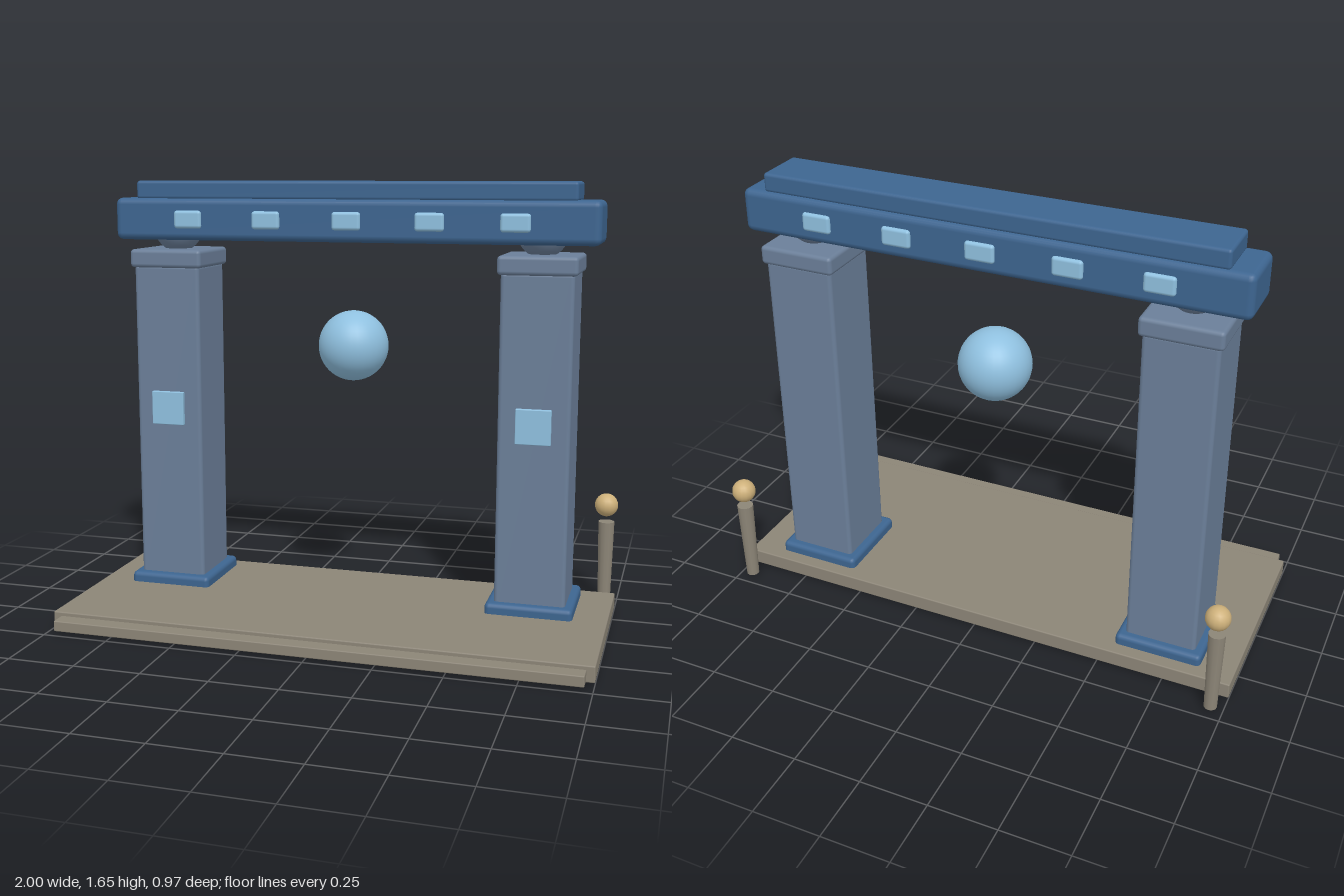
import * as THREE from 'three';
import { RoundedBoxGeometry } from 'three/addons/geometries/RoundedBoxGeometry.js';

const material = (color) => new THREE.MeshStandardMaterial({ color });

export function createModel() {
  const group = new THREE.Group();
  const stone = material(0x8c8577);
  const slate = material(0x6b7f99);
  const blue = material(0x3d6590);
  const glow = material(0x8fc0df);
  const gold = material(0xcdb07a);
  const soil = material(0x7a7358);
  const axis = -0.165; // depth of the gate's centre line

  function add(name, geometry, mat, x, y, z) {
    const mesh = new THREE.Mesh(geometry, mat);
    mesh.name = name;
    mesh.position.set(x, y, z);
    group.add(mesh);
    return mesh;
  }
  // Box with softened edges, given by its lower and upper heights
  function block(name, mat, w, y0, y1, d, x, z, bevel) {
    const geometry = new RoundedBoxGeometry(w, y1 - y0, d, 2, bevel);
    return add(name, geometry, mat, x, (y0 + y1) / 2, z);
  }

  // Platform with a lower front step and an inlay underneath
  block('platform', stone, 2, 0.005, 0.065, 0.8, 0, 0.02, 0.005);
  block('frontStep', stone, 1.94, 0.01, 0.05, 0.1, 0, 0.43, 0.004);
  add('underInlay', new THREE.BoxGeometry(0.92, 0.02, 0.35), soil, 0, 0.012, -0.02);

  for (const side of [-1, 1]) {
    const x = side * 0.712;
    // Pillar with plinth, capital and ball bearing
    block('plinth', blue, 0.325, 0.03, 0.105, 0.33, x, axis, 0.018);
    add('footing', new THREE.CylinderGeometry(0.09, 0.09, 0.03, 6), blue, x, 0.016, axis);
    block('pillar', slate, 0.265, 0.07, 1.33, 0.265, x, axis, 0.015);
    block('capital', slate, 0.29, 1.32, 1.39, 0.29, x, axis, 0.015);
    add('bearing', new THREE.SphereGeometry(0.095, 24, 16), slate, x, 1.47, axis);
    block('pillarPanel', glow, 0.13, 0.71, 0.84, 0.03, x, -0.032, 0.003);

    // Lamp post behind the platform
    add('lampPost', new THREE.CylinderGeometry(0.031, 0.024, 0.325, 12), stone, side * 0.953, 0.171, -0.445);
    add('lampBall', new THREE.SphereGeometry(0.045, 16, 12), gold, side * 0.951, 0.4, -0.445);
  }

  // Lintel and its cover slab
  block('lintel', blue, 1.86, 1.425, 1.585, 0.226, 0, -0.168, 0.025);
  block('lintelCover', blue, 1.69, 1.58, 1.65, 0.195, 0, -0.168, 0.012);

  // Inset lights on both faces of the lintel
  for (let i = -2; i <= 2; i++) {
    for (const face of [-1, 1]) {
      block('lintelLight', glow, 0.11, 1.47, 1.538, 0.03, i * 0.3135, -0.168 + face * 0.11, 0.012);
    }
  }

  // Floating orb
  add('orb', new THREE.SphereGeometry(0.134, 32, 24), glow, 0, 1.03, axis);

  return group;
}
